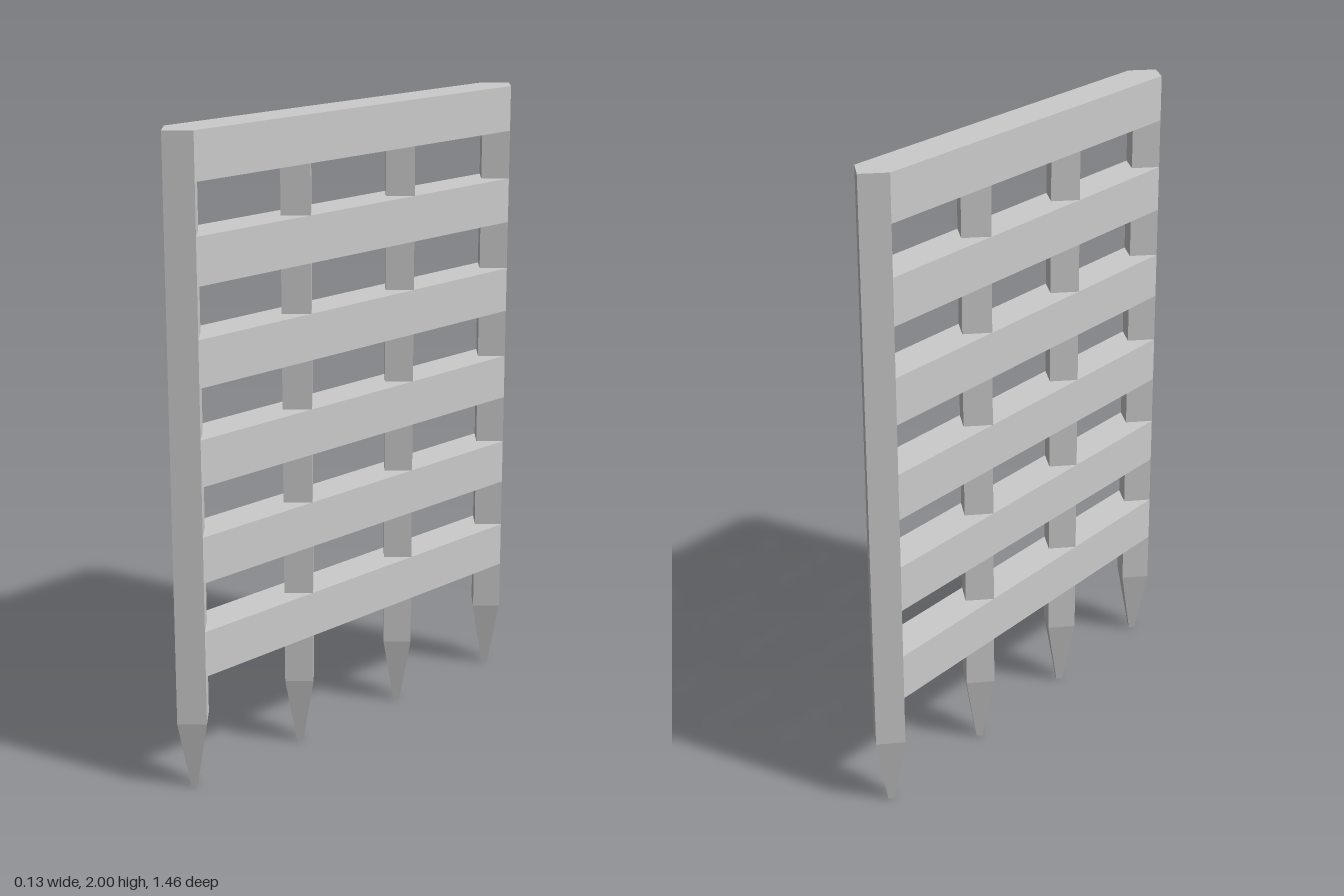
import * as THREE from 'three';

export function createModel() {
  const group = new THREE.Group();
  const material = new THREE.MeshStandardMaterial({ color: 0xcccccc, flatShading: true });
  const radius = 0.063, halfSpan = 0.667;

  // Four square posts turned on edge, each tapering to a blunt spike
  const profile = [[0, 0], [0.014, 0], [radius, 0.22], [radius, 2], [0, 2]]
    .map(([r, y]) => new THREE.Vector2(r, y));
  const postGeometry = new THREE.LatheGeometry(profile, 4);
  for (let i = 0; i < 4; i++) {
    const post = new THREE.Mesh(postGeometry, material);
    post.name = `spikedPost${i + 1}`;
    post.position.z = halfSpan - (i * 2 * halfSpan) / 3;
    group.add(post);
  }

  // Six evenly spaced crossbars running between the outer post centres
  const barHeight = 0.143, pitch = 0.2965;
  const barGeometry = new THREE.BoxGeometry(radius * 2, barHeight, halfSpan * 2);
  for (let i = 0; i < 6; i++) {
    const bar = new THREE.Mesh(barGeometry, material);
    bar.name = `crossbar${i + 1}`;
    bar.position.y = 2 - barHeight / 2 - i * pitch;
    group.add(bar);
  }

  return group;
}
